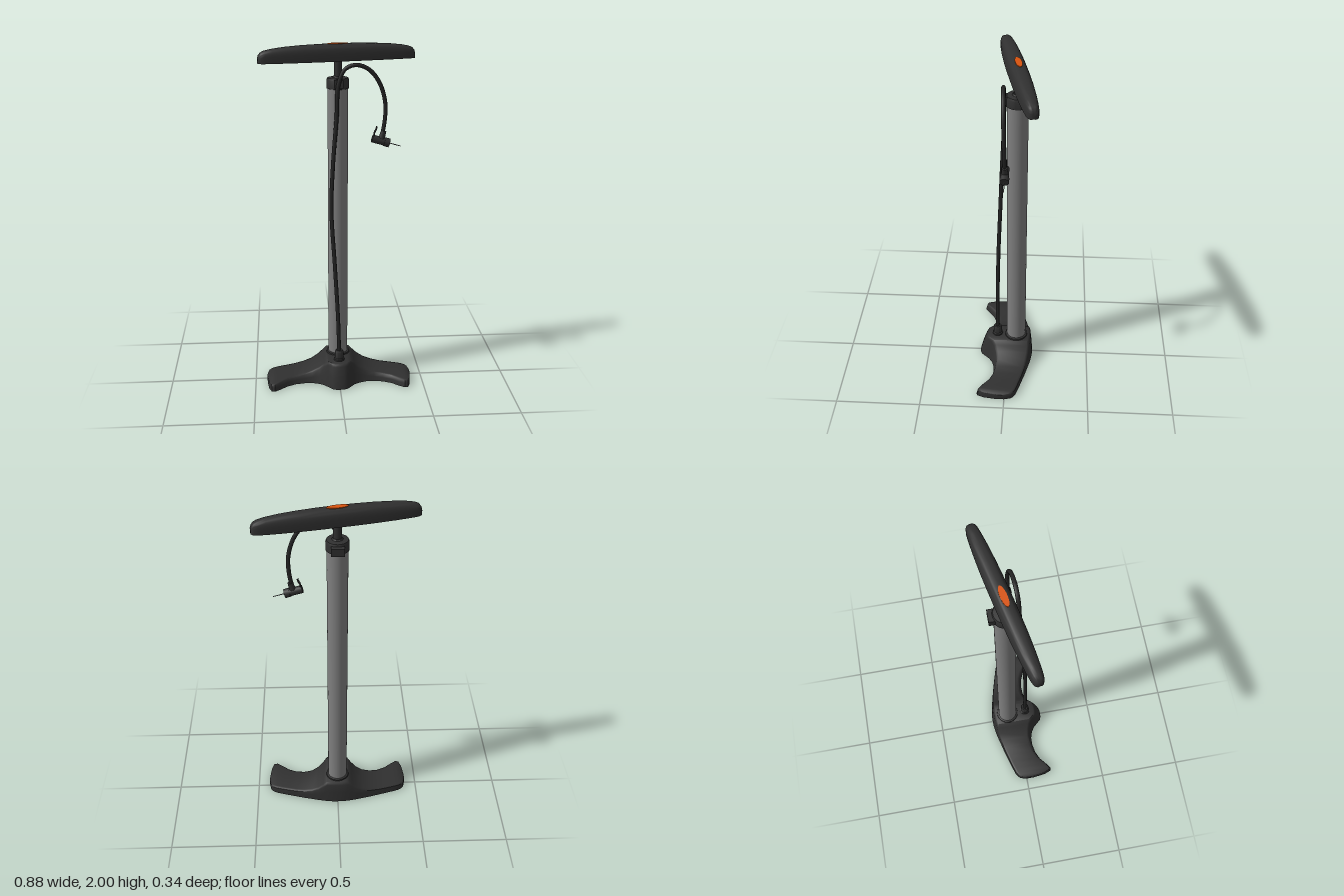
import * as THREE from 'three';
import { toCreasedNormals } from 'three/addons/utils/BufferGeometryUtils.js';

const material = (name, color, side = THREE.FrontSide) => {
  const m = new THREE.MeshStandardMaterial({ color, side });
  m.name = name;
  return m;
};

// Mirror rows whose first value is x, giving rows from -x to +x
const mirrorRows = rows => [...rows.slice(1).reverse().map(([x, ...r]) => [-x, ...r]), ...rows];

// Skin closed [z, y] rings placed along x, capped at both ends
function loft(sections) {
  const pos = [], idx = [], n = sections[0].ring.length;
  for (const { x, ring } of sections) for (const [z, y] of ring) pos.push(x, y, z);
  for (let i = 0; i < sections.length - 1; i++) {
    for (let j = 0; j < n; j++) {
      const k = (j + 1) % n, a = i * n + j, d = i * n + k;
      idx.push(a, a + n, d + n, a, d + n, d);
    }
  }
  for (const i of [0, sections.length - 1]) {
    const { x, ring } = sections[i], c = pos.length / 3;
    const mean = q => ring.reduce((s, p) => s + p[q], 0) / n;
    pos.push(x, mean(1), mean(0));
    for (let j = 0; j < n; j++) {
      const a = i * n + j, b = i * n + (j + 1) % n;
      idx.push(c, ...(i ? [b, a] : [a, b]));
    }
  }
  const g = new THREE.BufferGeometry();
  g.setAttribute('position', new THREE.Float32BufferAttribute(pos, 3));
  g.setIndex(idx);
  return toCreasedNormals(g, 0.7);
}

export function createModel() {
  const black = material('black plastic', 0x303030);
  const rubber = material('hose rubber', 0x242424);
  const grey = material('grey metal', 0x808080);
  const orange = material('orange badge', 0xd9540f);
  const model = new THREE.Group();
  const TZ = -0.053; // barrel axis

  const add = (name, geo, mat, x = 0, y = 0, z = 0, parent = model) => {
    const m = new THREE.Mesh(geo, mat);
    m.name = name;
    m.position.set(x, y, z);
    parent.add(m);
    return m;
  };
  const cyl = (r0, r1, h, s = 32) => new THREE.CylinderGeometry(r0, r1, h, s);
  const lathe = pts => toCreasedNormals(
    new THREE.LatheGeometry(pts.map(p => new THREE.Vector2(...p)), 40), 0.6);

  // Foot: hollow winged shell, rows are x, back z, front z, height
  const footRows = mirrorRows([
    [0, -0.155, 0.172, 0.145], [0.025, -0.155, 0.17, 0.145], [0.045, -0.153, 0.162, 0.145],
    [0.068, -0.15, 0.136, 0.143], [0.09, -0.146, 0.112, 0.122], [0.12, -0.14, 0.093, 0.094],
    [0.16, -0.13, 0.08, 0.07], [0.21, -0.118, 0.079, 0.055], [0.26, -0.104, 0.088, 0.048],
    [0.31, -0.09, 0.11, 0.046], [0.355, -0.077, 0.147, 0.045], [0.385, -0.067, 0.168, 0.044],
    [0.405, -0.056, 0.165, 0.042], [0.42, -0.04, 0.125, 0.039], [0.43, 0, 0.05, 0.034],
  ]);
  add('foot', loft(footRows.map(([x, b, f, h]) => {
    const t = Math.abs(x) > 0.415 ? 0.012 : 0.009;
    const depth = Math.abs(x) > 0.425 ? 0.002 : h - 0.01;
    const F = f - 0.26 * h, B = b + 0.08 * h;
    return { x, ring: [
      [f, 0], [f - 0.13 * h, 0.5 * h], [F, 0.88 * h], [F - 0.005, 0.96 * h], [F - 0.014, h],
      [B + 0.014, h], [B + 0.005, 0.96 * h], [B, 0.88 * h], [b + 0.04 * h, 0.5 * h], [b, 0],
      [b + t, 0], [B + t, depth], [F - t, depth], [f - t, 0],
    ] };
  })), black);

  // Zigzag stiffening ribs under each wing
  const zigzag = [[0.05, -0.06], [0.12, 0.07], [0.19, -0.1], [0.26, 0.06], [0.32, -0.07], [0.38, 0.13]];
  for (const s of [-1, 1]) {
    for (let i = 0; i < zigzag.length - 1; i++) {
      const [x0, z0] = zigzag[i], [x1, z1] = zigzag[i + 1];
      const rib = add('footRib', new THREE.BoxGeometry(Math.hypot(x1 - x0, z1 - z0), 0.034, 0.007),
        black, s * (x0 + x1) / 2, 0.023, (z0 + z1) / 2);
      rib.rotation.y = -s * Math.atan2(z1 - z0, x1 - x0);
    }
    add('footSpine', new THREE.BoxGeometry(0.34, 0.03, 0.007), black, s * 0.22, 0.021, -0.01);
  }
  add('footSocket', cyl(0.055, 0.055, 0.12), black, 0, 0.075, TZ);
  add('footCollar', lathe([[0.055, 0.14], [0.069, 0.14], [0.067, 0.153], [0.057, 0.156]]), black, 0, 0, TZ);

  // Barrel, cap and piston rod
  add('barrel', cyl(0.057, 0.057, 1.64, 40), grey, 0, 0.96, TZ);
  add('barrelCap', lathe([[0.056, 1.753], [0.063, 1.755], [0.063, 1.8], [0.058, 1.812],
    [0.03, 1.815], [0.025, 1.822], [0, 1.822]]), black, 0, 0, TZ);
  add('capClip', new THREE.BoxGeometry(0.07, 0.045, 0.05), black, 0, 1.778, TZ - 0.06);
  add('capClipFront', new THREE.BoxGeometry(0.05, 0.045, 0.03), black, 0, 1.785, TZ + 0.056);
  add('pistonRod', cyl(0.022, 0.022, 0.16), black, 0, 1.88, TZ);

  // Handle: arched grip hollowed from below, rows are x, half width, top
  const handle = new THREE.Group();
  handle.name = 'handle';
  handle.position.z = -0.055;
  handle.rotation.y = 0.21;
  model.add(handle);
  const gripRows = mirrorRows([
    [0, 0.048, 1.998], [0.1, 0.0475, 1.997], [0.2, 0.0455, 1.994], [0.3, 0.041, 1.988],
    [0.37, 0.036, 1.98], [0.41, 0.032, 1.972], [0.43, 0.027, 1.963], [0.441, 0.02, 1.95],
    [0.446, 0.011, 1.935],
  ]);
  const arch = (w, low, spring, top) => {
    const pts = [[w, low]];
    for (let i = 0; i <= 16; i++) {
      const a = Math.PI * i / 16, c = Math.cos(a);
      pts.push([w * Math.sign(c) * Math.abs(c) ** 0.7, spring + (top - spring) * Math.abs(Math.sin(a)) ** 0.7]);
    }
    return [...pts, [-w, low]];
  };
  add('grip', loft(gripRows.map(([x, w, top]) => {
    const end = Math.abs(x) > 0.42;
    const inner = end ? arch(w * 0.7, 1.905, 1.906, 1.907) : arch(w - 0.009, 1.905, 1.915, top - 0.02);
    return { x, ring: [...arch(w, 1.905, 1.922, top), ...inner.reverse()] };
  })), black, 0, 0, 0, handle);
  add('handleHub', cyl(0.036, 0.034, 0.07), black, 0, 1.942, 0, handle);
  for (const s of [-1, 1]) {
    for (const x of [0.1, 0.19, 0.28, 0.36]) {
      add('handleRib', new THREE.BoxGeometry(0.007, 0.04, 0.056), black, s * x, 1.935, 0, handle);
    }
    add('handleSpine', new THREE.BoxGeometry(0.36, 0.035, 0.007), black, s * 0.21, 1.933, 0, handle);
  }
  const badge = add('badge', cyl(1, 1, 0.007, 40), orange, 0, 1.9965, 0, handle);
  badge.scale.set(0.058, 1, 0.018);

  // Hose from the foot, up the barrel and over to the valve head
  add('hoseFitting', lathe([[0, 0.14], [0.031, 0.14], [0.031, 0.155], [0.025, 0.158],
    [0.025, 0.2], [0.02, 0.208], [0, 0.208]]), black, 0, 0, 0.063);
  const path = new THREE.CatmullRomCurve3([
    [0, 0.18, 0.063], [-0.006, 0.4, 0.063], [-0.025, 0.75, 0.057], [-0.043, 1.08, 0.045],
    [-0.032, 1.35, 0.034], [-0.012, 1.6, 0.022], [0, 1.79, 0.02], [0.035, 1.868, 0.02],
    [0.095, 1.89, 0.018], [0.165, 1.865, 0.014], [0.225, 1.79, 0.01], [0.258, 1.68, 0.006],
    [0.257, 1.58, 0.004], [0.24, 1.48, 0.003],
  ].map(p => new THREE.Vector3(...p)));
  add('hose', new THREE.TubeGeometry(path, 140, 0.0115, 12), rubber);

  // Valve head with lever and needle
  const head = new THREE.Group();
  head.name = 'valveHead';
  head.position.set(0.235, 1.466, 0.003);
  head.rotation.z = -0.28;
  model.add(head);
  add('headBody', cyl(0.022, 0.022, 0.098, 20), black, 0, 0, 0, head).rotation.z = Math.PI / 2;
  add('headNozzle', cyl(0.025, 0.025, 0.03, 20), black, 0.037, 0, 0, head).rotation.z = Math.PI / 2;
  add('hoseFerrule', cyl(0.015, 0.018, 0.045, 20), black, 0.002, 0.035, 0, head);
  add('needle', cyl(0.0025, 0.0025, 0.08, 10), grey, 0.078, 0, 0, head).rotation.z = Math.PI / 2;
  const leverPath = new THREE.CatmullRomCurve3([[-0.04, 0.008], [-0.046, 0.035], [-0.042, 0.055], [-0.043, 0.075]]
    .map(([x, y]) => new THREE.Vector3(x, y, 0)));
  const lever = add('lever', new THREE.TubeGeometry(leverPath, 16, 0.005, 8), black, 0, 0, 0, head);
  lever.scale.z = 2.4;
  return model;
}
